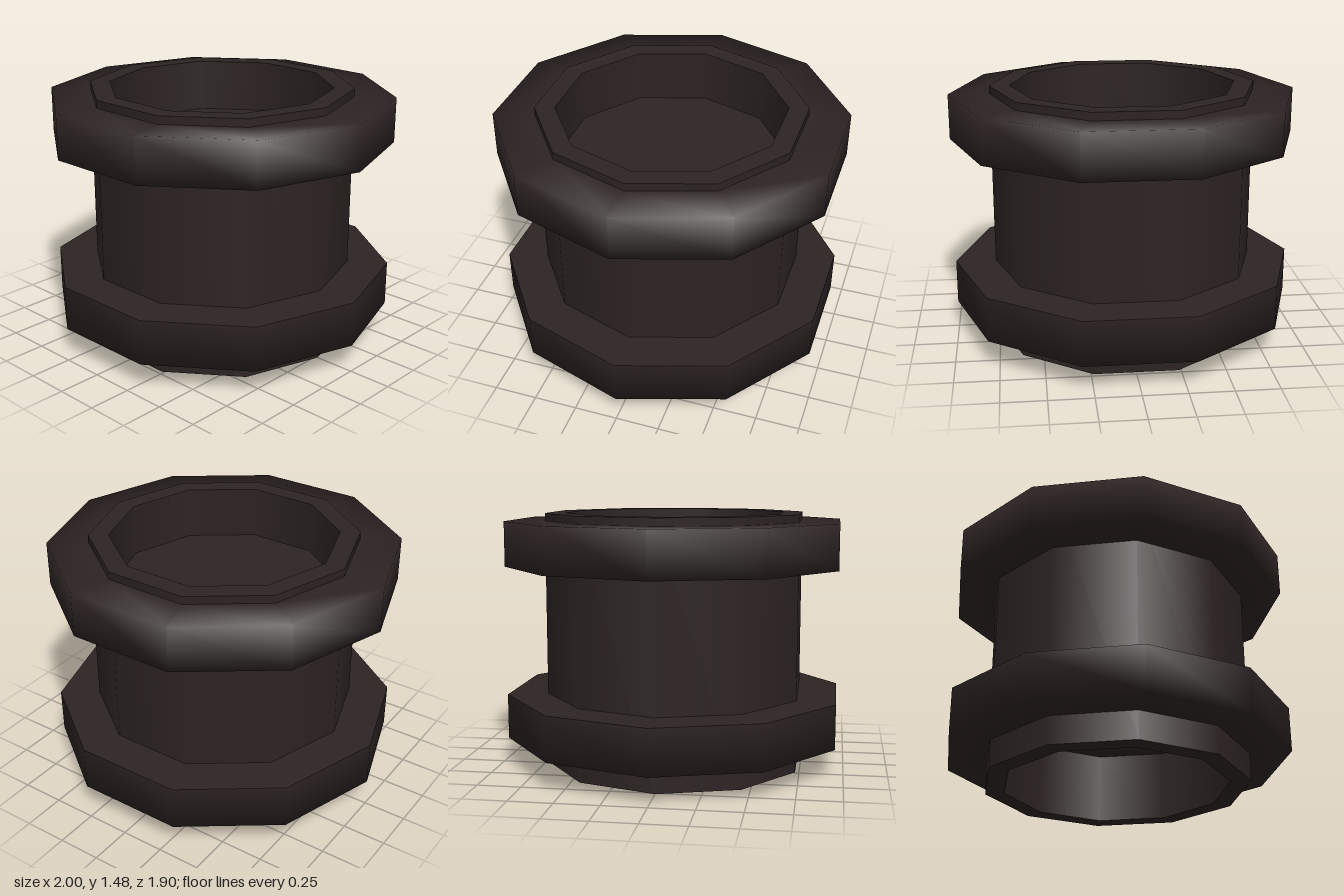
import * as THREE from 'three';

const SIDES = 10;
const R_RING = 1, R_BODY = 0.765, R_HOLE = 0.65;
const HEIGHT = 1.475;

export function createModel() {
  const group = new THREE.Group();
  const darkBrown = new THREE.MeshStandardMaterial({ color: 0x2d2323 });
  darkBrown.name = 'darkBrown';

  // Ten-sided turned strip; normals are smooth along the profile, creased at its ends
  function turned(name, profile, parent) {
    const points = profile.map(([r, y]) => new THREE.Vector2(r, y));
    const geometry = new THREE.LatheGeometry(points, SIDES, Math.PI / 2);
    geometry.normalizeNormals();
    const mesh = new THREE.Mesh(geometry, darkBrown);
    mesh.name = name;
    parent.add(mesh);
  }

  // Spool body with a shallow recess at each end
  const body = new THREE.Group();
  body.name = 'body';
  group.add(body);
  turned('recessCeiling', [[0, 0.42], [R_HOLE, 0.42]], body);
  turned('lowerRecessWall', [[R_HOLE, 0.42], [R_HOLE, 0]], body);
  turned('bottomRim', [[R_HOLE, 0], [R_BODY, 0]], body);
  turned('barrel', [[R_BODY, 0], [R_BODY, HEIGHT]], body);
  turned('topRim', [[R_BODY, HEIGHT], [R_HOLE, HEIGHT]], body);
  turned('upperRecessWall', [[R_HOLE, HEIGHT], [R_HOLE, 1.17]], body);
  turned('recessFloor', [[R_HOLE, 1.17], [0, 1.17]], body);

  // Upper flange, softly shaded all round
  turned('upperFlange', [[R_BODY, 1.17], [R_RING, 1.17], [R_RING, 1.43], [R_BODY, 1.43]], group);

  // Lower flange with a crisp flat top
  const lower = new THREE.Group();
  lower.name = 'lowerFlange';
  group.add(lower);
  turned('lowerFlangeSide', [[R_BODY, 0.16], [R_RING, 0.16], [R_RING, 0.42]], lower);
  turned('lowerFlangeTop', [[R_RING, 0.42], [R_BODY, 0.42]], lower);

  return group;
}
